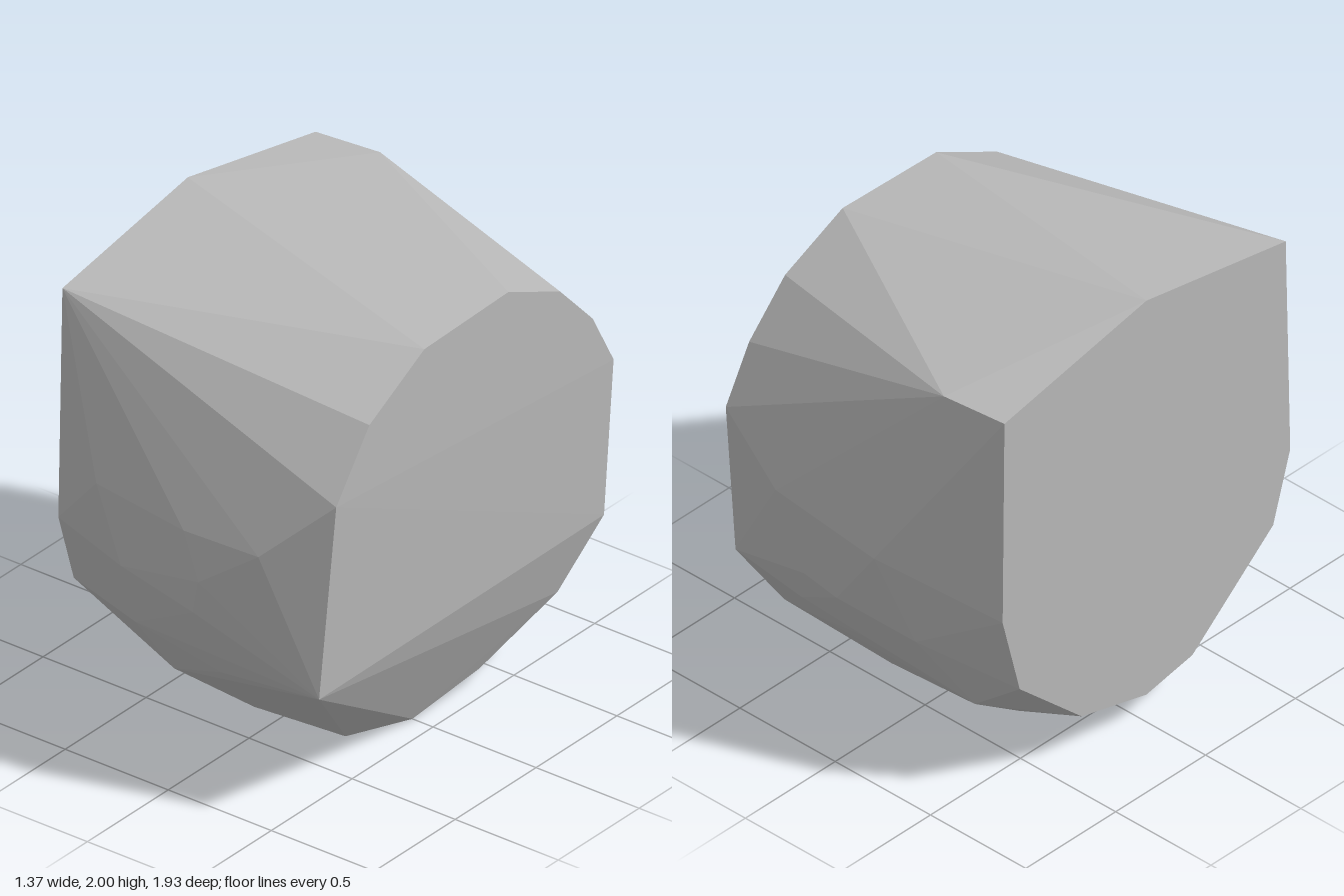
import * as THREE from 'three';
import { ConvexGeometry } from 'three/addons/geometries/ConvexGeometry.js';

// Faceted boulder: a convex shell around two cut ends and a rounded barrel.
export function createModel() {
  const stone = new THREE.MeshStandardMaterial({ color: 0xb8b8b8 });
  stone.name = 'stoneGrey';

  // flat cut on the -x end, as [y, z] around its outline
  const flatEnd = [
    [2, 0], [1.865, 0.775], [0.865, 0.8], [0.555, 0.705], [0.18, 0.256],
    [0.13, 0], [0.22, -0.36], [0.535, -0.705], [0.9, -0.8], [1.84, -0.79],
  ].map(([y, z]) => [-0.69, y, z]);

  // flat cut on the +x end, as [y, z]; it leans in slightly towards the bottom
  const leaningEnd = [
    [1.41, 0.825], [1.68, 0.62], [1.86, 0.28], [1.875, -0.24],
    [1.73, -0.56], [1.52, -0.76], [1.28, -0.89],
  ].map(([y, z]) => [0.678, y, z]);

  // lower bevel of the +x end
  const bevel = [
    [0.63, 0.565, 0.87], [0.655, 0.6, -0.86], [0.57, 0.31, -0.68],
    [0.45, 0.08, -0.35], [0.4, 0, 0], [0.35, 0.065, 0.35],
  ];

  // bulging front
  const front = [
    [-0.4, 1.18, 0.935], [0.39, 1.14, 0.94], [0.04, 1.14, 0.957], [0.12, 0.945, 0.968],
    [-0.27, 0.87, 0.95], [0.08, 0.79, 0.95], [-0.25, 0.6, 0.885],
    [0.13, 0.49, 0.835], [-0.16, 0.37, 0.76], [-0.6, 0.24, 0.43],
  ];

  // bulging back
  const back = [
    [-0.4, 1.84, -0.82], [-0.17, 1.03, -0.965], [0.35, 1.09, -0.96],
    [0.05, 0.72, -0.94], [0.22, 0.75, -0.94], [-0.3, 0.65, -0.87],
    [0.3, 0.56, -0.87], [0.3, 0.42, -0.78], [0, 0.5, -0.83], [-0.45, 0.34, -0.7],
  ];

  // rounded underside
  const underside = [
    [-0.42, 0.03, 0], [0, 0.005, 0], [-0.4, 0.08, 0.33], [0.1, 0.06, 0.35],
    [0, 0.125, 0.47], [-0.38, 0.1, -0.38], [0.1, 0.19, -0.58], [0.1, 0.07, -0.35],
  ];

  const points = [...flatEnd, ...leaningEnd, ...bevel, ...front, ...back, ...underside]
    .map((p) => new THREE.Vector3(...p));
  const boulder = new THREE.Mesh(new ConvexGeometry(points), stone);
  boulder.name = 'boulder';

  const group = new THREE.Group();
  group.name = 'facetedBoulder';
  group.add(boulder);
  return group;
}
